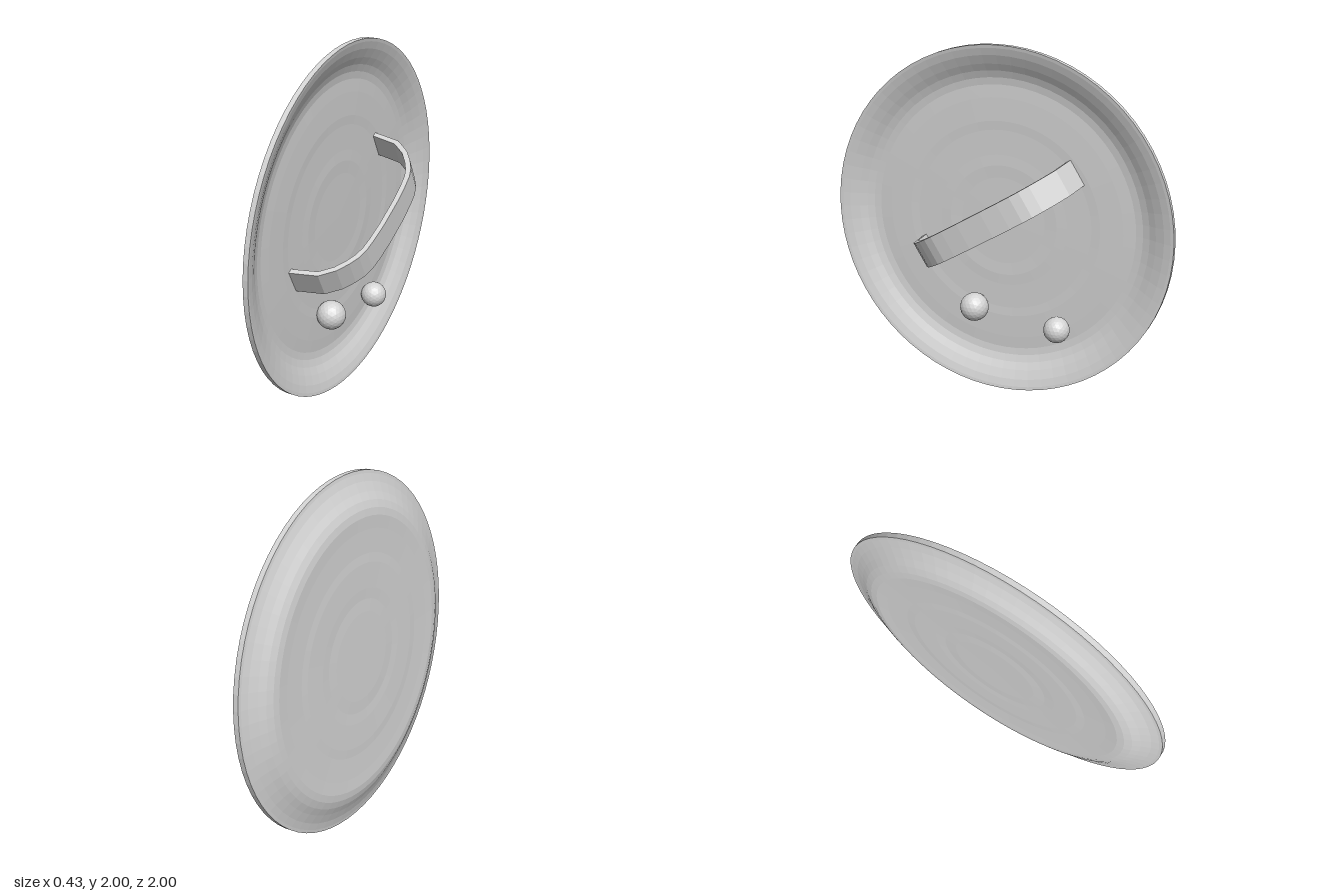
import * as THREE from 'three';

export function createModel() {
  const grey = new THREE.MeshStandardMaterial({ color: 0xd4d4d4, flatShading: true });
  const root = new THREE.Group();
  root.name = 'roundShield';

  // Tilted frame: local +x is the axis of the dish, pointing to the grip side
  const shield = new THREE.Group();
  shield.name = 'shield';
  shield.position.set(0, 0.996, 0);
  shield.rotation.set(0, -0.03, -0.045);
  root.add(shield);

  const add = (name, geometry) => {
    const mesh = new THREE.Mesh(geometry, grey);
    mesh.name = name;
    shield.add(mesh);
    return mesh;
  };

  // Dish: flat, faintly rippled floor with a curved wall and flared rim, as [radius, height]
  const outer = [
    [0, -0.17], [0.25, -0.171], [0.32, -0.169], [0.38, -0.171], [0.52, -0.172],
    [0.57, -0.17], [0.7, -0.172], [0.77, -0.175], [0.81, -0.17], [0.85, -0.156],
    [0.89, -0.135], [0.94, -0.113], [0.98, -0.101], [0.998, -0.098],
  ];
  const inner = outer.map(([r, h]) => [r, h + 0.03]).reverse();
  const profile = [...outer, ...inner].map(([r, h]) => new THREE.Vector2(r, h));
  add('dish', new THREE.LatheGeometry(profile, 72).rotateZ(-Math.PI / 2));

  // Grip: bent strap, half outline as [along, height], mirrored
  const strapOuter = [[0.53, -0.155], [0.5, 0.02], [0.44, 0.1], [0.38, 0.147], [0.325, 0.178], [0.27, 0.195], [0.19, 0.204], [0.08, 0.21]];
  const strapInner = [[0.502, -0.155], [0.473, 0.006], [0.42, 0.078], [0.363, 0.122], [0.312, 0.151], [0.263, 0.167], [0.187, 0.176], [0.08, 0.182]];
  const mirror = (pts) => pts.map(([u, h]) => [-u, h]).reverse();
  const outline = [...strapOuter, ...mirror(strapOuter), ...mirror(strapInner).reverse(), ...strapInner.slice().reverse()];
  const strapWidth = 0.155;
  const strap = new THREE.ExtrudeGeometry(
    new THREE.Shape(outline.map(([u, h]) => new THREE.Vector2(u, h))),
    { depth: strapWidth, bevelEnabled: false },
  ).translate(0, 0, -strapWidth / 2);
  const angle = 0.539;
  const along = new THREE.Vector3(0, Math.sin(angle), -Math.cos(angle));
  const up = new THREE.Vector3(1, 0, 0);
  const across = new THREE.Vector3().crossVectors(along, up);
  strap.applyMatrix4(new THREE.Matrix4().makeBasis(along, up, across));
  add('grip', strap).position.set(0, 0.052, 0.014);

  // Two round studs set into the inside of the bowl
  for (const [name, y, z, r] of [['largeStud', 0.485, 0.157, 0.082], ['smallStud', 0.42, -0.343, 0.074]]) {
    add(name, new THREE.IcosahedronGeometry(r, 3)).position.set(-0.075, y - 1, z);
  }

  return root;
}
